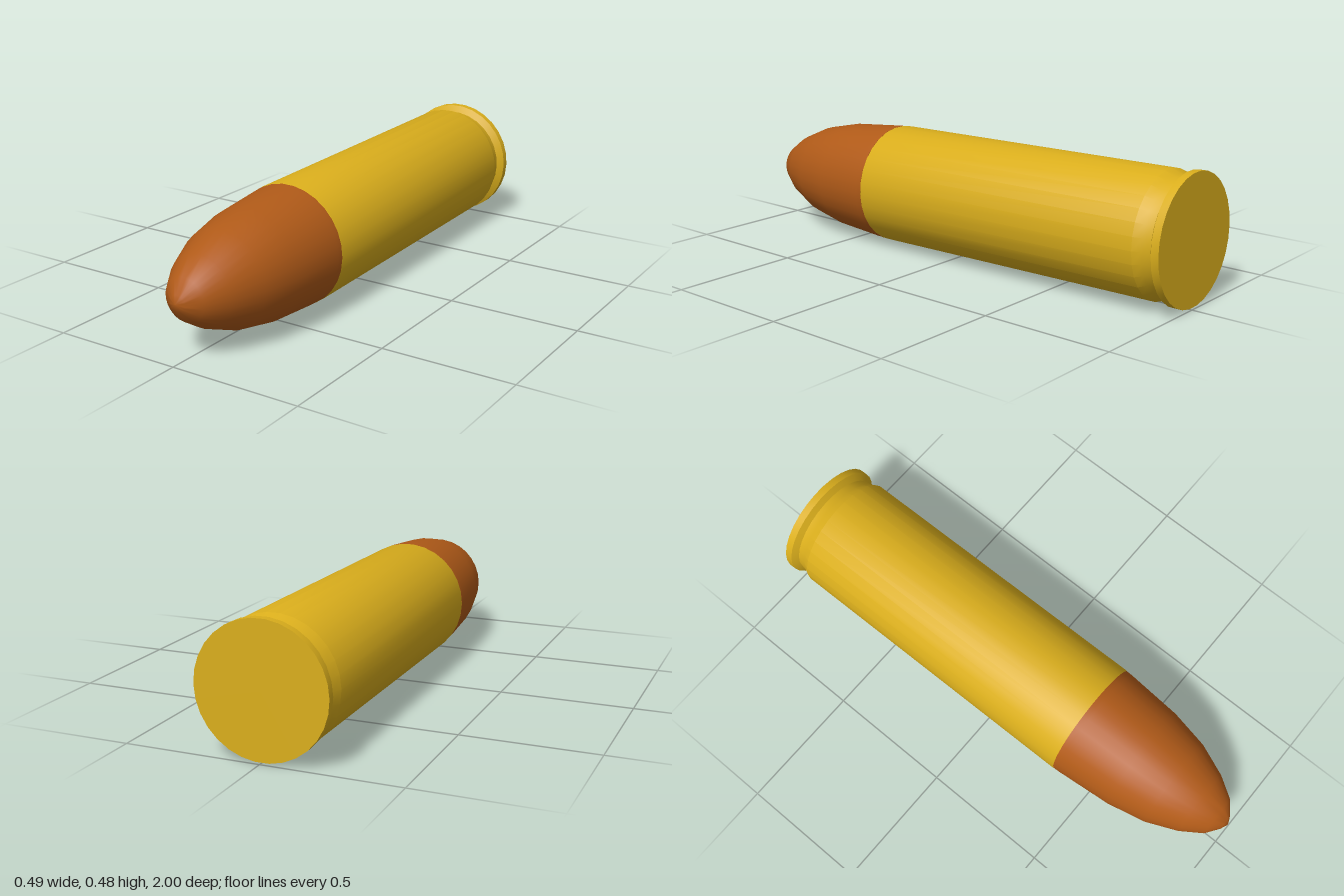
import * as THREE from 'three';
import { toCreasedNormals } from 'three/addons/utils/BufferGeometryUtils.js';

const SIDES = 30;

// Turned part: profile is a list of [radius, position along the axis], back to front
function turned(name, profile, color, crease) {
  const points = profile.map(([r, t]) => new THREE.Vector2(r, t));
  const lathe = new THREE.LatheGeometry(points, SIDES, Math.PI / SIDES);
  const mesh = new THREE.Mesh(toCreasedNormals(lathe, crease), new THREE.MeshStandardMaterial({ color }));
  mesh.name = name;
  return mesh;
}

export function createModel() {
  const model = new THREE.Group();
  model.name = 'cartridge';

  // Case: flat base, rim, extractor groove, long wall, bevelled mouth
  const caseMesh = turned('case', [
    [0, -0.997], [0.239, -0.997], [0.239, -0.968],
    [0.213, -0.952], [0.218, -0.92], [0.233, -0.89],
    [0.233, 0.35], [0.23, 0.36], [0.22, 0.36],
  ], 0xdaae1c, 0.5);

  // Rounded nose, seated in the case mouth
  const nose = turned('nose', [
    [0, 0.355], [0.232, 0.355], [0.231, 0.38], [0.213, 0.6], [0.182, 0.75],
    [0.132, 0.87], [0.08, 0.95], [0.03, 0.987], [0, 1],
  ], 0xb05a18, 0.8);

  // The axis points forward with a very slight tilt
  const axis = new THREE.Group();
  axis.name = 'body';
  axis.add(caseMesh, nose);
  axis.quaternion.setFromUnitVectors(
    new THREE.Vector3(0, 1, 0),
    new THREE.Vector3(0.0136, -0.0096, 1).normalize()
  );
  axis.position.set(0.0066, 0.239, 0);
  model.add(axis);
  return model;
}
